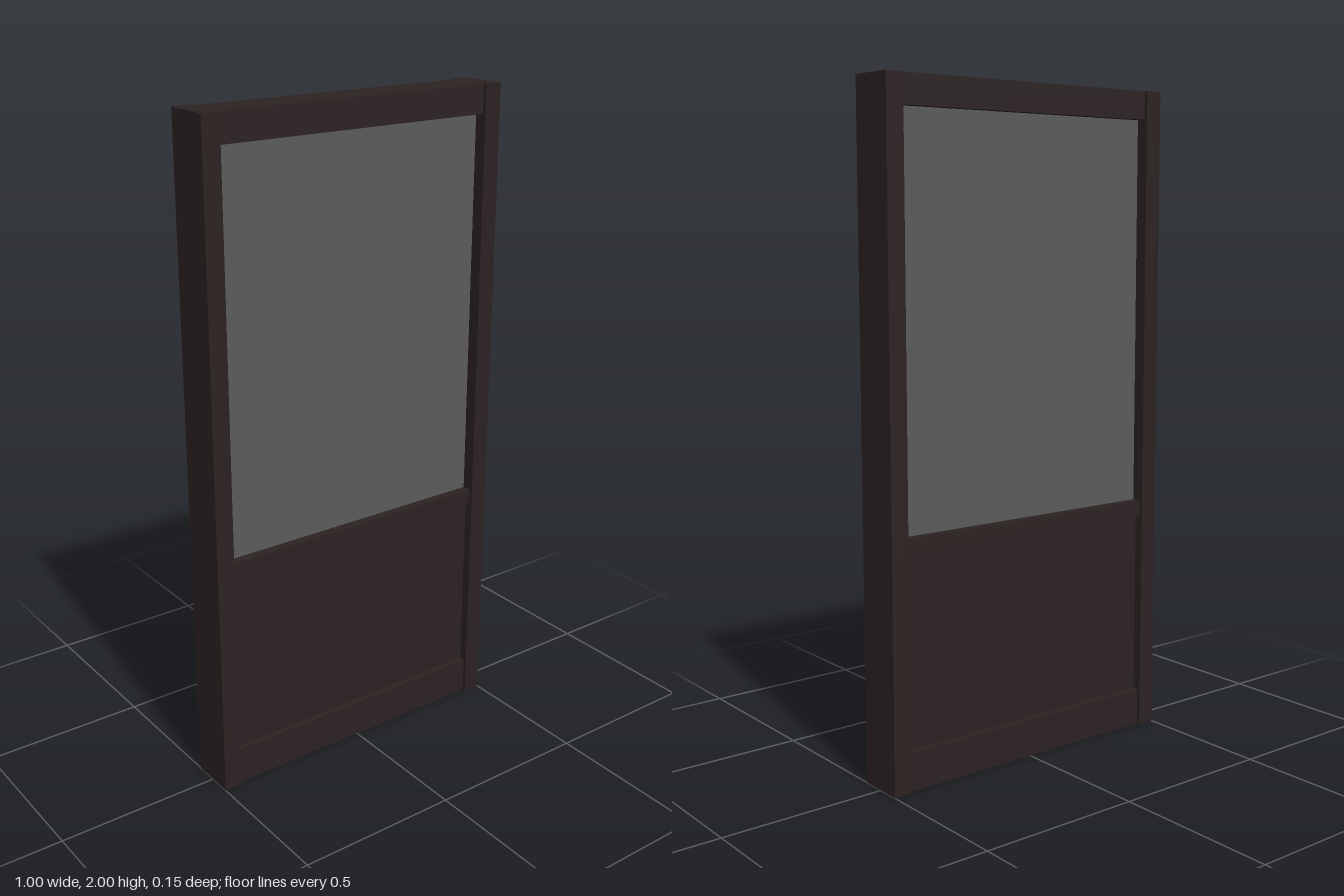
import * as THREE from 'three';

export function createModel() {
  const model = new THREE.Group();
  const wood = new THREE.MeshStandardMaterial({ name: 'dark wood', color: 0x2c2222 });
  const glass = new THREE.MeshStandardMaterial({ name: 'grey glass', color: 0x5b5b5b });

  const POST_INNER = 0.445;

  // Box spanning x0..x1 and y0..y1, centred on z = 0
  function slab(name, x0, x1, y0, y1, depth, material) {
    const mesh = new THREE.Mesh(new THREE.BoxGeometry(x1 - x0, y1 - y0, depth), material);
    mesh.name = name;
    mesh.position.set((x0 + x1) / 2, (y0 + y1) / 2, 0);
    model.add(mesh);
  }

  // Side posts, slightly proud of the rails
  slab('leftPost', POST_INNER, 0.5, 0, 2, 0.146, wood);
  slab('rightPost', -0.5, -POST_INNER, 0, 2, 0.146, wood);

  // Horizontal rails
  const rails = [['bottomRail', 0, 0.115], ['middleRail', 0.69, 0.735], ['topRail', 1.915, 2]];
  for (const [name, y0, y1] of rails) slab(name, -POST_INNER, POST_INNER, y0, y1, 0.124, wood);

  // Recessed infill: wooden panel below, glass pane above
  slab('lowerPanel', -POST_INNER, POST_INNER, 0.115, 0.69, 0.09, wood);
  slab('windowPane', -POST_INNER, POST_INNER, 0.735, 1.915, 0.066, glass);

  return model;
}
